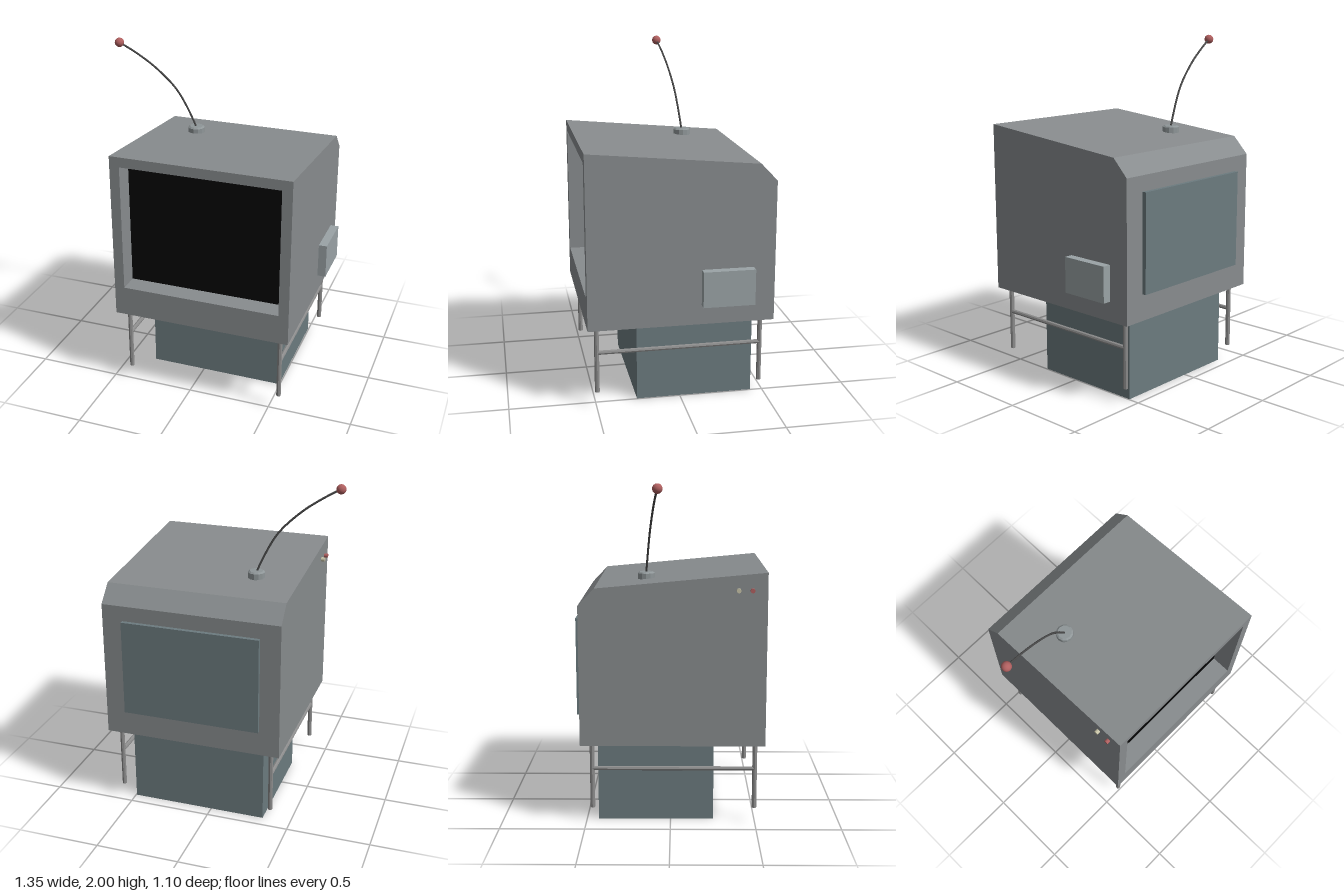
import * as THREE from 'three';

const mat = (color, opts = {}) => new THREE.MeshStandardMaterial({ color, ...opts });

// Closed-back loft through rectangles [z, x0, x1, y0, y1]
function loftRects(rects) {
  const pos = [];
  const loops = rects.map(([z, x0, x1, y0, y1]) => [[x0, y0, z], [x1, y0, z], [x1, y1, z], [x0, y1, z]]);
  const tri = (...pts) => pts.forEach(p => pos.push(...p));
  for (let k = 0; k < loops.length - 1; k++) {
    const a = loops[k], b = loops[k + 1];
    for (let i = 0; i < 4; i++) {
      const j = (i + 1) % 4;
      tri(a[i], b[i], b[j]);
      tri(a[i], b[j], a[j]);
    }
  }
  const e = loops[loops.length - 1];
  tri(e[0], e[3], e[2]);
  tri(e[0], e[2], e[1]);
  const geo = new THREE.BufferGeometry();
  geo.setAttribute('position', new THREE.Float32BufferAttribute(pos, 3));
  geo.computeVertexNormals();
  return geo;
}

export function createModel() {
  const group = new THREE.Group();
  const add = (name, geo, material, x = 0, y = 0, z = 0) => {
    const mesh = new THREE.Mesh(geo, material);
    mesh.name = name;
    mesh.position.set(x, y, z);
    group.add(mesh);
    return mesh;
  };
  // Box given by its limits on each axis
  const addBox = (name, material, [x0, x1], [y0, y1], [z0, z1]) =>
    add(name, new THREE.BoxGeometry(x1 - x0, y1 - y0, z1 - z0), material,
      (x0 + x1) / 2, (y0 + y1) / 2, (z0 + z1) / 2);

  const shell = mat(0x888c8e);
  const slate = mat(0x6c7b7f);
  const pale = mat(0x9aa3a6);
  const metal = mat(0x8c8c8c, { flatShading: true });
  const dark = mat(0x4a4a4a);
  const red = mat(0xb06060);
  const cream = mat(0xc8c4a8);

  // Cabinet: screen recess, front frame, sloping roof, bevelled back
  add('cabinet', loftRects([
    [0.43, -0.39, 0.56, 0.67, 1.39],
    [0.55, -0.39, 0.56, 0.67, 1.44],
    [0.55, -0.45, 0.62, 0.49, 1.5],
    [-0.43, -0.45, 0.62, 0.49, 1.41],
    [-0.525, -0.45, 0.62, 0.49, 1.31],
  ]), shell);
  add('screen', new THREE.PlaneGeometry(0.95, 0.72), mat(0x050505), 0.085, 1.03, 0.43);

  // Boxes attached to the cabinet
  addBox('lowerBox', slate, [-0.33, 0.495], [0, 0.49], [-0.43, 0.255]);
  addBox('backPanel', slate, [-0.33, 0.495], [0.645, 1.22], [-0.55, -0.52]);
  addBox('sideBox', pale, [0.61, 0.67], [0.605, 0.815], [-0.4, -0.1]);

  // Legs, with one stretcher along each side
  const legZ = [0.495, -0.46];
  for (const x of [-0.385, 0.56]) {
    for (const z of legZ) {
      add('leg', new THREE.CylinderGeometry(0.014, 0.014, 0.395, 8), metal, x, 0.2925, z);
    }
    const bar = add('stretcher', new THREE.CylinderGeometry(0.013, 0.013, legZ[0] - legZ[1], 8),
      metal, x, 0.335, (legZ[0] + legZ[1]) / 2);
    bar.rotation.x = Math.PI / 2;
  }

  // Two small knobs on the right side
  for (const [z, material] of [[0.463, red], [0.385, cream]]) {
    const knob = add('knob', new THREE.CylinderGeometry(0.013, 0.013, 0.03, 16), material, -0.457, 1.4, z);
    knob.rotation.z = Math.PI / 2;
  }

  // Antenna: base with chamfered rim, curved rod, ball tip
  const profile = [[0, -0.02], [0.05, -0.02], [0.05, 0.03], [0.04, 0.038], [0, 0.038]];
  add('antennaBase', new THREE.LatheGeometry(profile.map(p => new THREE.Vector2(...p)), 12),
    mat(0x8f9698, { flatShading: true }), -0.19, 1.437, -0.143);
  const curve = new THREE.CatmullRomCurve3([
    [-0.19, 1.46, -0.143], [-0.204, 1.5, -0.14], [-0.304, 1.696, -0.12],
    [-0.431, 1.828, -0.1], [-0.548, 1.913, -0.083], [-0.648, 1.972, -0.067],
  ].map(p => new THREE.Vector3(...p)));
  add('antennaRod', new THREE.TubeGeometry(curve, 32, 0.006, 8), dark);
  add('antennaBall', new THREE.SphereGeometry(0.028, 20, 14), red, -0.65, 1.972, -0.067);

  return group;
}
